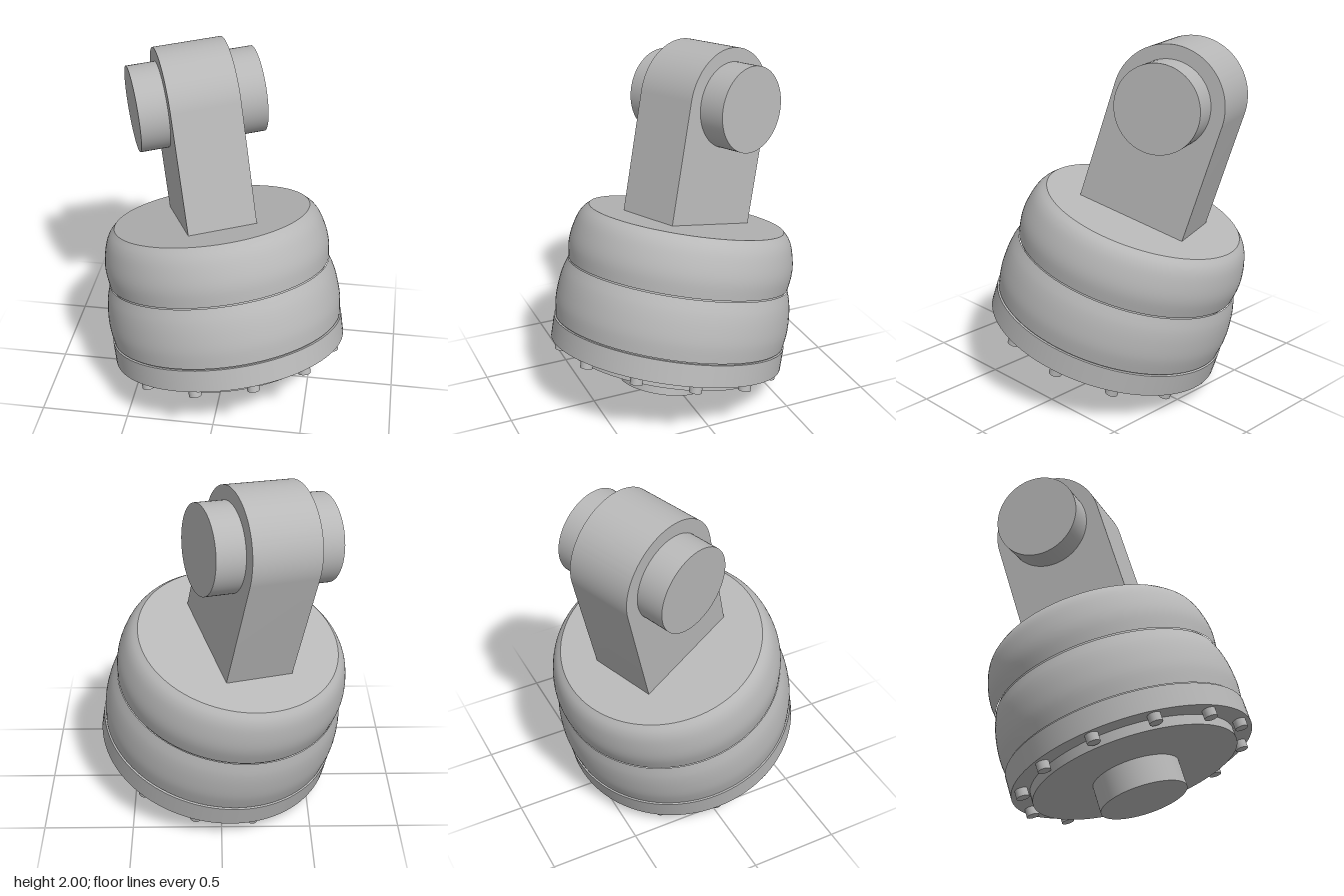
import * as THREE from 'three';
import { toCreasedNormals } from 'three/addons/utils/BufferGeometryUtils.js';

export function createModel() {
  const model = new THREE.Group();
  model.name = 'tiltedPivotMount';
  const steel = new THREE.MeshStandardMaterial({ color: 0xb8b8b8 });
  steel.name = 'grey steel';

  const add = (name, geometry, parent = model) => {
    const mesh = new THREE.Mesh(geometry, steel);
    mesh.name = name;
    parent.add(mesh);
    return mesh;
  };

  // Upright cylinder between two heights on the main axis
  const disc = (name, radius, bottom, top, segments = 96) => {
    const mesh = add(name, new THREE.CylinderGeometry(radius, radius, top - bottom, segments));
    mesh.position.y = (bottom + top) / 2;
    return mesh;
  };

  // Rounded band turned around the main axis, smooth along a spline
  const band = (name, points) => {
    const curve = new THREE.SplineCurve(points.map(([r, h]) => new THREE.Vector2(r, h)));
    return add(name, new THREE.LatheGeometry(curve.getPoints(24), 96));
  };

  // Base: stub shaft, raised cover and flange
  disc('stubShaft', 0.24, 0, 0.16);
  disc('bottomCover', 0.57, 0.15, 0.22);
  disc('flange', 0.673, 0.205, 0.33);

  // Body: two bulging bands separated by narrow seams
  disc('lowerSeam', 0.658, 0.32, 0.345);
  band('lowerBulge', [[0.666, 0.337], [0.677, 0.43], [0.673, 0.52], [0.66, 0.6], [0.637, 0.672]]);
  disc('upperSeam', 0.625, 0.66, 0.69);
  band('upperBulge', [[0.637, 0.679], [0.647, 0.76], [0.642, 0.83], [0.622, 0.91], [0.597, 0.96], [0.563, 0.995]]);
  disc('topPlate', 0.563, 0.985, 0.995);

  // Ring of bolts under the flange
  const bolts = new THREE.Group();
  bolts.name = 'flangeBolts';
  model.add(bolts);
  const boltGeometry = new THREE.CylinderGeometry(0.035, 0.035, 0.06, 24);
  for (let i = 0; i < 12; i++) {
    const angle = (i * Math.PI) / 6;
    add('bolt', boltGeometry, bolts).position.set(0.62 * Math.sin(angle), 0.19, 0.62 * Math.cos(angle));
  }

  // Link arm: upright slab with a rounded top
  const eye = 1.672, reach = 0.317, width = 0.386;
  const shape = new THREE.Shape();
  shape.moveTo(-reach, 0.98);
  shape.lineTo(reach, 0.98);
  shape.lineTo(reach, eye);
  shape.absarc(0, eye, reach, 0, Math.PI, false);
  shape.closePath();
  const arm = new THREE.ExtrudeGeometry(shape, { depth: width, bevelEnabled: false, curveSegments: 48 });
  arm.translate(0, 0, -width / 2).rotateY(Math.PI / 2);
  add('linkArm', toCreasedNormals(arm, 0.4));

  // Cross pin through the arm
  const pin = add('crossPin', new THREE.CylinderGeometry(0.24, 0.24, 0.708, 64));
  pin.rotation.z = Math.PI / 2;
  pin.position.y = eye;

  // Lean the whole assembly along its main axis
  const up = new THREE.Vector3(-0.165, 0.957, -0.237).normalize();
  const front = new THREE.Vector3(0.928, 0.071, -0.367).cross(up).normalize();
  const side = new THREE.Vector3().crossVectors(up, front);
  model.quaternion.setFromRotationMatrix(new THREE.Matrix4().makeBasis(side, up, front));
  model.position.set(0.065, 0.07, 0.105);

  const root = new THREE.Group();
  root.name = 'pivotMount';
  root.add(model);
  return root;
}
